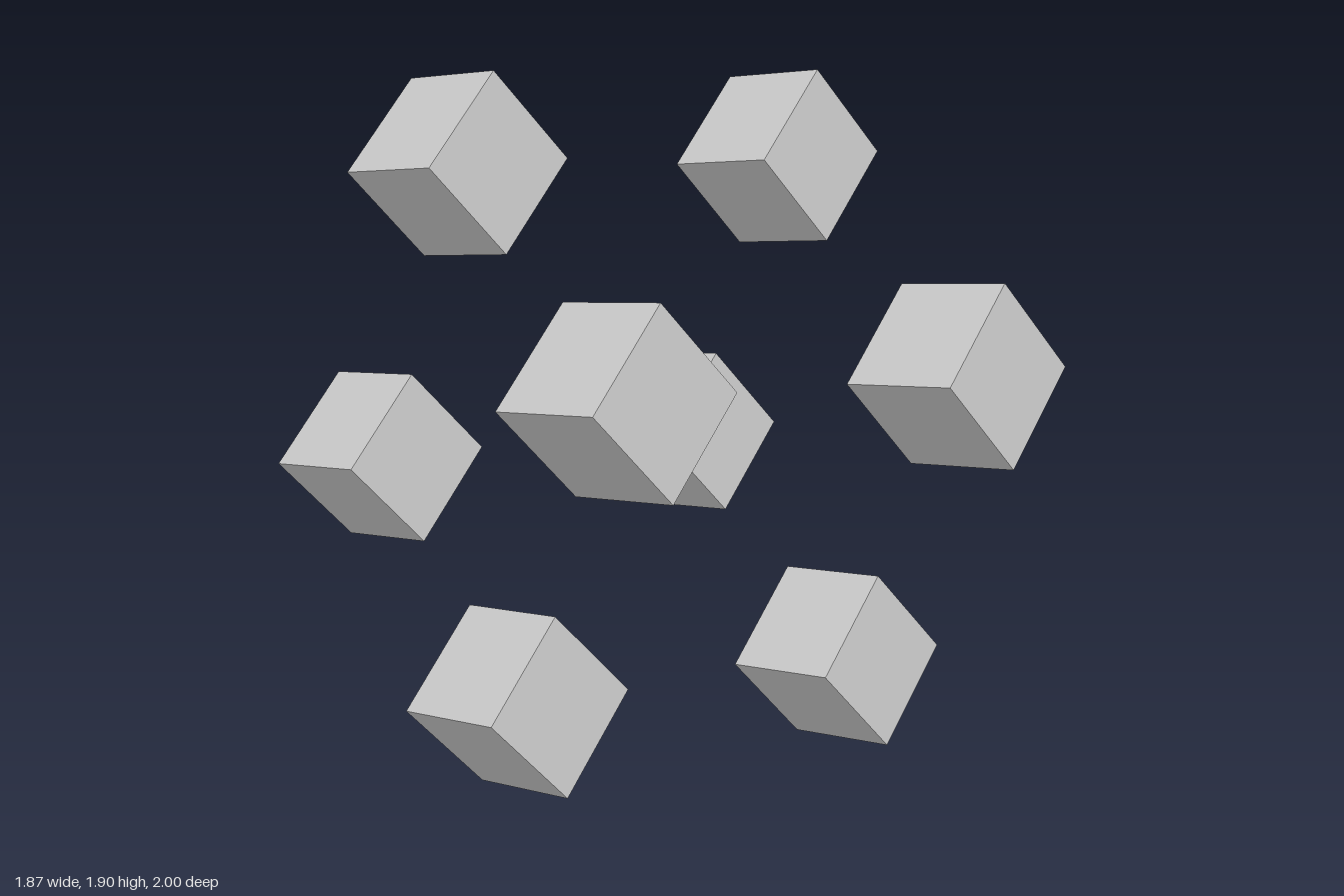
import * as THREE from 'three';

const V = (x, y, z) => new THREE.Vector3(x, y, z);

export function createModel() {
  const model = new THREE.Group();
  model.name = 'cubeLattice';
  const material = new THREE.MeshStandardMaterial({ color: 0xcccccc, flatShading: true });
  const size = 0.335;
  const geometry = new THREE.BoxGeometry(size, size, size);

  // Shared tilt of every small cube, squared up from its edge directions
  const right = V(0.29, 0.16, -0.035).normalize();
  const front = right.clone().cross(V(-0.165, 0.275, -0.105)).normalize();
  const up = front.clone().cross(right);
  const tilt = new THREE.Quaternion().setFromRotationMatrix(
    new THREE.Matrix4().makeBasis(right, up, front));

  // Half edges of the large tilted cube whose corners carry the small cubes
  const axes = [V(0.21, 0.11, -0.439), V(-0.451, 0.0925, -0.194), V(0.0375, 0.4775, 0.14)];
  const centre = V(0, 0.954, 0);

  for (const i of [-1, 1]) for (const j of [-1, 1]) for (const k of [-1, 1]) {
    const cube = new THREE.Mesh(geometry, material);
    cube.name = 'cornerCube' + (model.children.length + 1);
    cube.position.copy(centre)
      .addScaledVector(axes[0], i)
      .addScaledVector(axes[1], j)
      .addScaledVector(axes[2], k);
    cube.quaternion.copy(tilt);
    model.add(cube);
  }
  return model;
}
